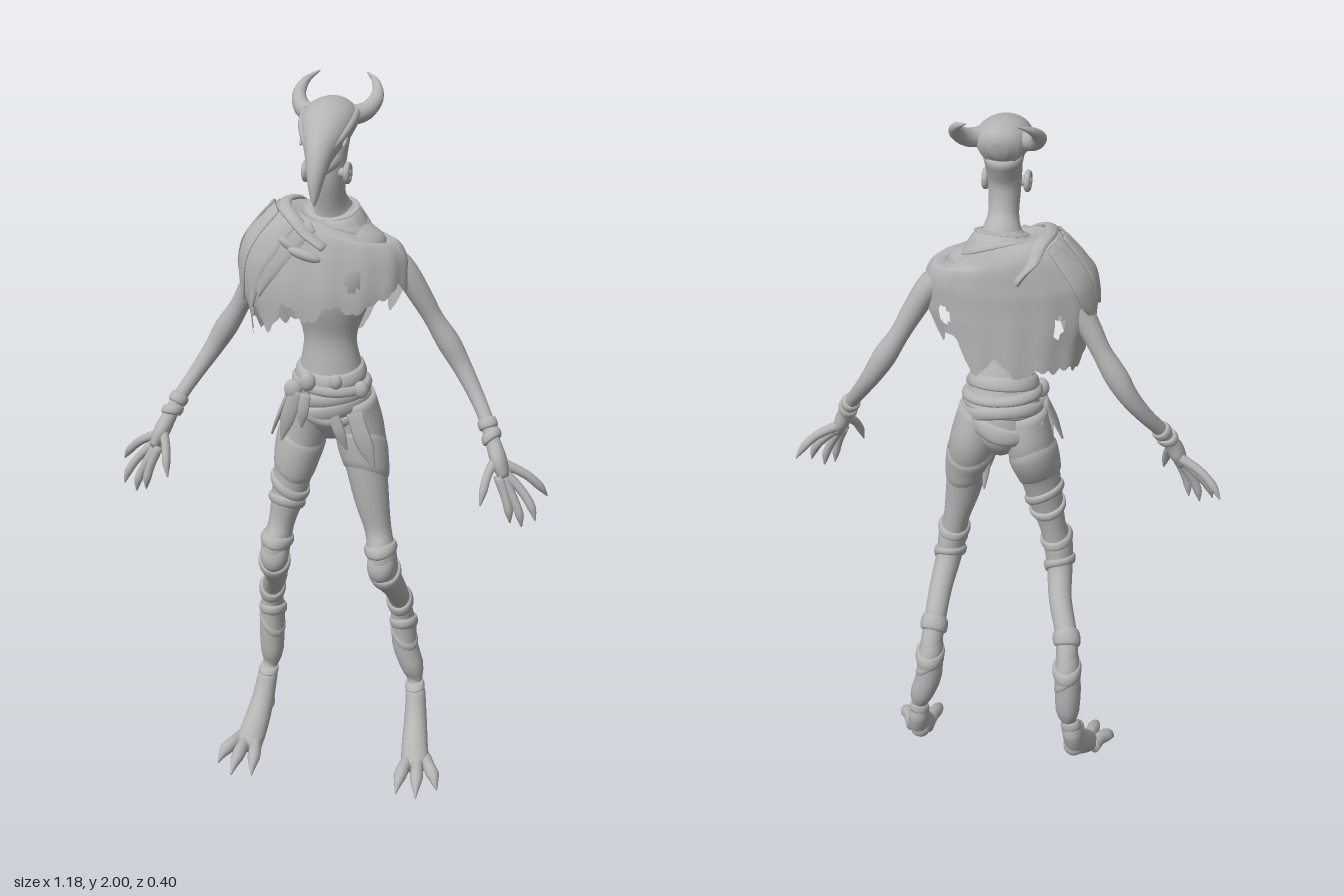
import * as THREE from 'three';

const grey = new THREE.MeshStandardMaterial({ color: 0xb4b4b4, side: THREE.DoubleSide });
grey.name = 'grey';
const V = (x, y, z) => new THREE.Vector3(x, y, z);
const X = V(1, 0, 0), Z = V(0, 0, 1);

// Elliptical surface along rows of [x, y, z, radiusA, radiusB]; radiusA lies along ref.
function surface(rows, ref = X) {
  const n = rows.length - 1;
  const path = new THREE.CatmullRomCurve3(rows.map(r => V(r[0], r[1], r[2])));
  const radii = new THREE.CatmullRomCurve3(rows.map(r => V(r[3], r[4], 0)));
  const f = (t, a, k = 0) => {
    const s = THREE.MathUtils.clamp(t / n, 0, 1);
    const c = path.getPoint(s), T = path.getTangent(s), r = radii.getPoint(s);
    const U = ref.clone().addScaledVector(T, -ref.dot(T)).normalize();
    const W = T.clone().cross(U);
    return c.addScaledVector(U, Math.cos(a) * (r.x + k)).addScaledVector(W, Math.sin(a) * (r.y + k));
  };
  f.n = n;
  f.ends = [rows[0], rows[n]];
  return f;
}

// Closed-around skin over f(u, angle), optionally capped or with cells left out.
function skin(name, f, nu, nv, ends, skip) {
  const pos = [], idx = [];
  for (let i = 0; i <= nu; i++)
    for (let j = 0; j < nv; j++) pos.push(...f(i / nu, j / nv * Math.PI * 2).toArray());
  for (let i = 0; i < nu; i++)
    for (let j = 0; j < nv; j++) {
      if (skip && skip((i + 0.5) / nu, (j + 0.5) / nv * Math.PI * 2)) continue;
      const j2 = (j + 1) % nv, a = i * nv + j, b = i * nv + j2;
      idx.push(a, b, b + nv, a, b + nv, a + nv);
    }
  if (ends) {
    const p = pos.length / 3, last = nu * nv;
    pos.push(...ends[0].slice(0, 3), ...ends[1].slice(0, 3));
    for (let j = 0; j < nv; j++) {
      const j2 = (j + 1) % nv;
      idx.push(p, j2, j, p + 1, last + j, last + j2);
    }
  }
  const g = new THREE.BufferGeometry();
  g.setAttribute('position', new THREE.Float32BufferAttribute(pos, 3));
  g.setIndex(idx);
  g.computeVertexNormals();
  const m = new THREE.Mesh(g, grey);
  m.name = name;
  return m;
}

const solid = (name, s, nv = 20, per = 4) => skin(name, (u, a) => s(u * s.n, a), s.n * per, nv, s.ends);
const loft = (name, rows, ref, nv = 10) => solid(name, surface(rows, ref), nv);

// Flat cloth band that hugs a surface between t0 and t1, raised by k and tilted.
const wrap = (name, s, t0, t1, k = 0.01, tilt = 0, phase = 0) => skin(name, (u, a) =>
  s(t0 + (t1 - t0) * u + tilt * Math.sin(a + phase), a, k * 1.3 * Math.max(0, Math.sin(Math.PI * u)) ** 0.3 - 0.4 * k), 10, 28);

function ball(name, p, size, rot = [0, 0, 0]) {
  const m = new THREE.Mesh(new THREE.SphereGeometry(1, 18, 12), grey);
  m.name = name;
  m.position.set(...p);
  m.scale.set(...size);
  m.rotation.set(...rot);
  return m;
}

export function createModel() {
  const model = new THREE.Group();
  model.name = 'hornedCreature';
  const add = (...m) => model.add(...m);

  // Neck, chest, waist and hips
  const torso = surface([
    [0, 1.885, -.008, .05, .05], [0, 1.8, .022, .042, .045], [0, 1.72, .008, .038, .042], [0, 1.66, -.02, .06, .06],
    [0, 1.6, -.02, .14, .085], [0, 1.52, 0, .135, .095], [0, 1.43, .01, .1, .08], [0, 1.34, .012, .07, .053],
    [0, 1.27, .005, .08, .068], [0, 1.19, -.005, .098, .086], [0, 1.11, -.02, .085, .082], [0, 1.05, -.02, .03, .04]]);
  add(solid('torso', torso, 32));

  // Beaked skull
  add(loft('beakedSkull', [
    [0, 1.9, -.065, .02, .02], [0, 1.905, -.048, .052, .048], [0, 1.91, 0, .07, .053], [0, 1.9, .05, .068, .055],
    [0, 1.875, .1, .052, .047], [0, 1.845, .143, .035, .038], [0, 1.8, .178, .022, .025], [0, 1.76, .192, .012, .013],
    [0, 1.735, .198, .002, .003]], X, 28));
  add(loft('beakRidge', [[0, 1.955, .03, .008, .006], [0, 1.92, .1, .009, .005], [0, 1.878, .15, .008, .006],
    [0, 1.82, .187, .005, .004]], X, 8));
  add(loft('jaw', [[0, 1.815, .04, .038, .028], [0, 1.81, .09, .03, .02], [0, 1.797, .135, .012, .01]], X, 14));

  // Shoulder cape with ragged hem and torn holes
  const cape = surface([
    [0, 1.685, -.02, .05, .045], [0, 1.662, -.025, .085, .075], [-.01, 1.625, -.025, .172, .1], [-.015, 1.56, -.018, .213, .112],
    [-.02, 1.48, -.01, .218, .118], [-.02, 1.4, -.01, .2, .118], [-.02, 1.32, -.01, .19, .118]]);
  const hem = a => {
    const c = Math.cos(a), s = Math.sin(a);
    const base = 1.395 + .11 * Math.max(0, c) ** 3 + .045 * s + .03 * Math.min(0, c);
    const jag = Math.abs((a * 3.5) % 2 - 1) - .5 + .4 * Math.sin(a * 9) + .3 * Math.abs(Math.sin(a * 17));
    return Math.min(6, 4 + (1.48 - base + jag * .045) / .08);
  };
  const tear = (t, a, t0, a0, dt, da) => ((t - t0) / dt) ** 2 + ((a - a0) / da) ** 2 < 1;
  add(skin('cape', (u, a) => cape(u * hem(a), a, .002 * Math.sin(a * 14) * u), 28, 128, null, (u, a) => {
    const t = u * hem(a);
    return tear(t, a, 3.6, 1.12, .35, .1) || tear(t, a, 4, 5.5, .5, .09) || tear(t, a, 4.2, 4, .4, .06);
  }));
  add(wrap('collarFold', cape, .2, .5, .008, .08), wrap('capeFold', cape, .9, 1.2, .005, .2, 1));

  // Layered strips fanning out over the right shoulder
  for (let i = 0; i < 8; i++) {
    const a = 1.75 + i * .28, end = 4.3 + .5 * Math.sin(i * 2.3);
    const rows = [1.7, 2.3, 2.9, 3.6, end].map((t, j) =>
      [...cape(t, a + (Math.PI - a) * .11 * j, .004 + .006 * (i % 2)).toArray(), .005, [.016, .028, .035, .03, .004][j]]);
    add(loft('shoulderStrip', rows, V(Math.cos(a), .2, Math.sin(a)), 10));
  }
  // Strap from chest over the right shoulder to the back
  const strap = [[1.5, 2.6], [1.75, 2.15], [2.05, 1.75], [2.6, 1.5], [3.2, 1.4], [3.8, 1.5], [4.2, 1.9], [4.5, 2.4]];
  add(loft('shoulderStrap', strap.map(([a, t]) => [...cape(t, a, .008).toArray(), .008, .018]), V(-.2, .9, .1), 10));
  add(ball('strapKnot', [-.05, 1.58, .095], [.045, .014, .014], [0, 0, -.3]));
  add(ball('strapKnot', [-.09, 1.6, .085], [.035, .012, .012], [0, 0, -.6]));

  // Waist wraps and belts
  add(wrap('waistCloth', torso, 8, 8.5, .01, .12), wrap('upperBelt', torso, 8.45, 8.85, .014, .1, 2),
    wrap('middleBelt', torso, 8.8, 9.25, .01, -.18, 1), wrap('hipSash', torso, 9.1, 9.7, .014, .35, .5),
    wrap('lowerSash', torso, 9.3, 9.9, .012, -.4, .9));
  for (const [x, y, z, s] of [[-.045, 1.235, .085, 1], [.03, 1.24, .085, .8], [-.09, 1.2, .06, 1.1], [.09, 1.21, .05, .9]])
    add(ball('beltPouch', [x, y, z], [.022 * s, .026 * s, .016 * s]));

  // Hanging strips of cloth: top, bottom and width
  for (const [x0, y0, z0, x1, y1, z1, w] of [
    [-.08, 1.2, .07, -.125, 1.05, .055, .018], [-.11, 1.18, .03, -.155, 1.06, .04, .02], [-.05, 1.2, .085, -.065, 1.1, .075, .014],
    [.075, 1.15, .065, .13, .99, .06, .022], [.02, 1.15, .075, .055, 1.04, .06, .015], [.03, 1.08, -.05, .045, .93, -.045, .01],
    [.11, 1.16, -.02, .15, 1.02, -.02, .03], [-.11, 1.16, -.03, -.145, 1.03, -.03, .026]])
    add(loft('hangingCloth', [[x0, y0, z0, w, .006], [(x0 + x1) / 2, (y0 + y1) / 2, (z0 + z1) / 2 + .006, w * 1.1, .006],
      [x1, y1, z1, .003, .003]], Math.abs(x0) > .1 ? Z : X, 10));

  for (const side of [1, -1]) {
    const flip = rows => rows.map(([x, ...rest]) => [x * side, ...rest]);
    const part = (name, rows, ref, nv) => add(loft(name, flip(rows), ref, nv));

    // Horn, brow, eye and ear ring
    part('horn', [[.045, 1.915, -.005, .026, .026], [.08, 1.922, -.035, .023, .023], [.1, 1.948, -.075, .016, .018],
      [.09, 1.978, -.118, .01, .01], [.062, 1.997, -.148, .002, .002]], Z, 14);
    part('brow', [[.064, 1.925, .0, .01, .012], [.061, 1.908, .06, .01, .011], [.045, 1.88, .11, .008, .009],
      [.02, 1.85, .16, .003, .003]], X, 8);
    add(ball('eye', [side * .054, 1.872, .085], [.006, .008, .024], [.45, 0, 0]));
    const ring = new THREE.Mesh(new THREE.TorusGeometry(.02, .008, 10, 20), grey);
    ring.name = 'earRing';
    ring.position.set(side * .053, 1.785, .052);
    ring.rotation.y = Math.PI / 2;
    add(ring, ball('earPlug', [side * .046, 1.785, .052], [.018, .014, .014]));

    // Arm with wrist bands
    const arm = surface(flip([
      [.12, 1.57, -.03, .042, .038], [.178, 1.525, -.035, .038, .034], [.226, 1.45, -.045, .031, .03], [.262, 1.385, -.055, .026, .026],
      [.302, 1.32, -.06, .03, .031], [.338, 1.26, -.057, .026, .026], [.38, 1.195, -.032, .021, .021], [.415, 1.14, .004, .019, .019],
      [.442, 1.085, .038, .02, .02], [.46, 1.045, .057, .032, .022], [.477, 1.005, .066, .024, .015]]), Z);
    add(solid('arm', arm, 18), wrap('wristBand', arm, 7, 7.45, .008), wrap('wristBand', arm, 7.5, 7.95, .009, .1));

    // Four fingers and thumb
    for (const [a, b, c, d] of [
      [[.465, 1.035, .045], [.527, 1.003, .032], [.565, .968, .02], [.587, .935, .008]],
      [[.47, 1.02, .06], [.523, .97, .066], [.552, .93, .075], [.565, .893, .08]],
      [[.47, 1.01, .068], [.505, .95, .08], [.523, .91, .085], [.53, .874, .085]],
      [[.463, 1.01, .078], [.485, .955, .088], [.495, .92, .092], [.5, .885, .09]],
      [[.455, 1.055, .06], [.437, 1.02, .095], [.43, .985, .118], [.424, .945, .132]]])
      part('finger', [[...a, .014, .014], [...b, .012, .012], [...c, .0115, .0115], [...d, .002, .002]], Z, 10);

    // Leg from hip to foot; the left shin bows further inward
    const bow = side > 0 ? -.014 : .01;
    const leg = surface(flip([
      [.06, 1.17, -.01, .055, .075], [.075, 1.08, -.018, .064, .078], [.097, .98, .003, .056, .06], [.116, .88, .014, .047, .047],
      [.136, .79, .02, .036, .04], [.15, .72, .035, .04, .053], [.158, .66, .018, .036, .046], [.17, .59, -.045, .032, .035],
      [.19 + bow, .51, -.115, .03, .032], [.197 + bow, .43, -.145, .031, .038], [.202 + bow, .35, -.148, .031, .037],
      [.213, .27, -.145, .029, .032], [.224, .2, -.135, .029, .032], [.232, .13, -.1, .033, .038],
      [.24, .08, -.045, .038, .038], [.248, .048, -.005, .04, .034], [.254, .036, .025, .028, .022]]));
    add(solid('leg', leg, 24));

    // Thigh, knee and shin wrappings
    add(wrap('thighWrap', leg, 1.2, 2.3, .007, .3, side > 0 ? 2.5 : .5), wrap('kneeBand', leg, 4.4, 4.8, .008, .1),
      wrap('kneeBand', leg, 5.6, 6.1, .009, .15, 1), wrap('shinBand', leg, 7.8, 8.3, .01, .12),
      wrap('shinGuard', leg, 8.5, 11.6, .006, .15, 2), wrap('shinBand', leg, 8.8, 9.3, .011, -.2),
      wrap('crossBand', leg, 9.4, 9.8, .009, .4, 1), wrap('ankleBand', leg, 11.5, 11.9, .008, .1));
    if (side < 0) add(wrap('thighBand', leg, 2.6, 2.9, .009, .2, 1), wrap('thighBand', leg, 3.1, 3.4, .009, -.1));
    add(ball('kneeCap', [side * .15, .705, .058], [.038, .05, .032], [-.25, 0, 0]));
    add(ball('heel', [side * .228, .12, -.112], [.03, .035, .026]));

    // Clawed toes
    for (const [x0, x1, x2, z2] of [[.23, .218, .213, .115], [.255, .265, .272, .125], [.275, .307, .325, .075]])
      part('toe', [[x0, .042, -.02, .02, .026], [(x0 + x1) / 2, .045, z2 * .2, .018, .022], [x1, .038, z2 * .55, .019, .02],
        [(x1 + x2) / 2, .026, z2 * .78, .012, .014], [x2, .006, z2, .002, .003]], X, 12);
  }
  return model;
}
